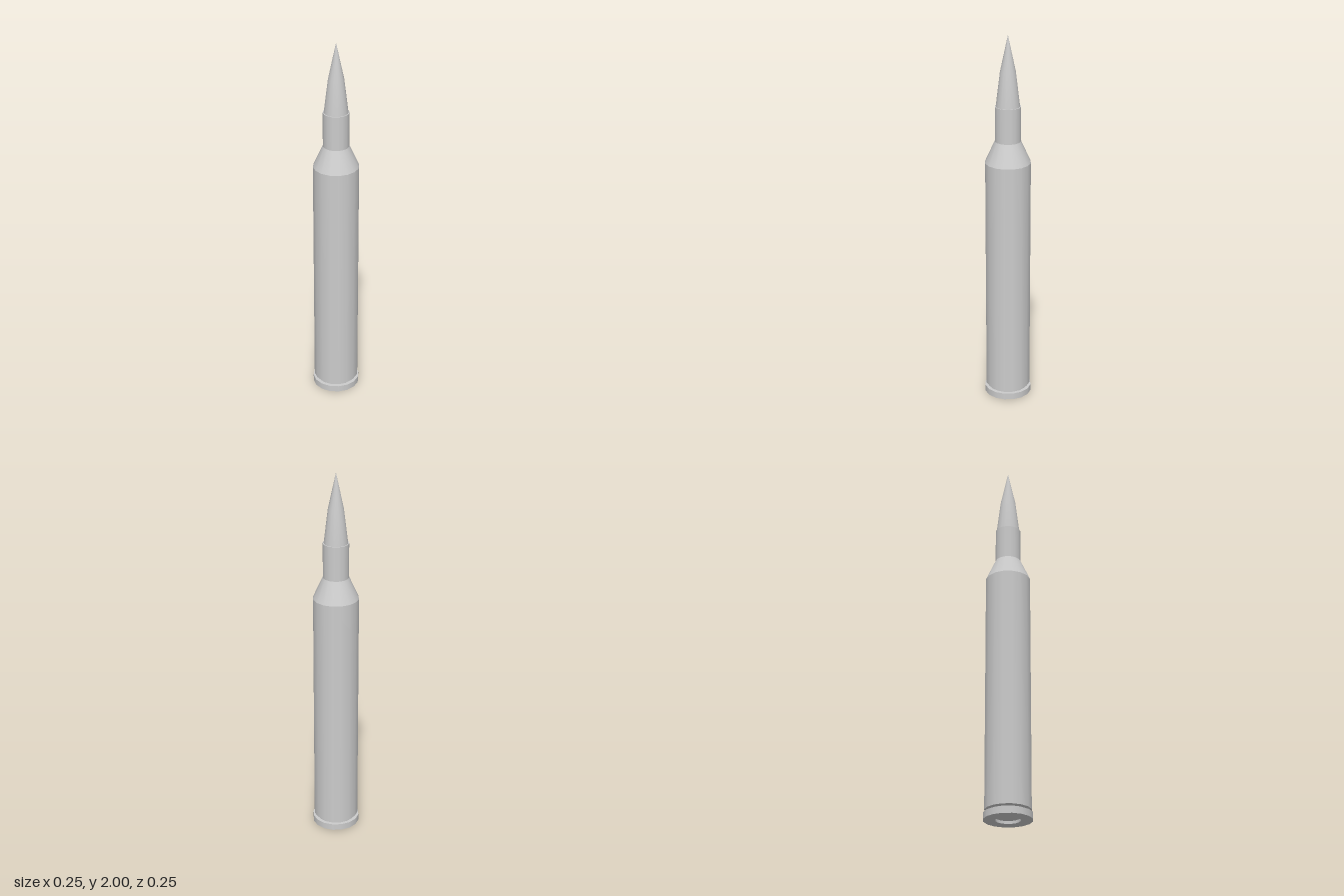
import * as THREE from 'three';
import { mergeGeometries } from 'three/addons/utils/BufferGeometryUtils.js';

const SIDES = 16;
const TURN = 0.14; // the facets sit slightly rotated about the axis

// Revolve a [radius, height] profile, listed from the bottom centre outward and up
const revolve = (profile) => new THREE.LatheGeometry(
  profile.map(([r, y]) => new THREE.Vector2(r, y)), SIDES, TURN);

// Same, but every profile corner stays a sharp edge
const revolveSharp = (profile) => mergeGeometries(
  profile.slice(1).map((point, i) => revolve([profile[i], point])));

export function createModel() {
  const group = new THREE.Group();
  const material = new THREE.MeshStandardMaterial({ color: 0xcccccc });
  const add = (name, geometry) => {
    const mesh = new THREE.Mesh(geometry, material);
    mesh.name = name;
    group.add(mesh);
  };

  // Recessed disc in the middle of the base
  add('primer', revolveSharp([[0, 0.015], [0.064, 0.015], [0.064, 0]]));

  // Rim and the extractor groove above it
  add('rim', revolveSharp([
    [0.064, 0], [0.126, 0], [0.126, 0.035], [0.107, 0.035], [0.107, 0.043], [0.12, 0.05],
  ]));

  // Straight body, sloped shoulder, neck and its flat mouth
  add('case', revolveSharp([
    [0.12, 0.05], [0.12, 1.33], [0.068, 1.445], [0.068, 1.63], [0.06, 1.63],
  ]));

  // Pointed tip seated in the neck
  add('bullet', revolve([[0.063, 1.6], [0.063, 1.63], [0.041, 1.81], [0, 2]]));

  return group;
}
